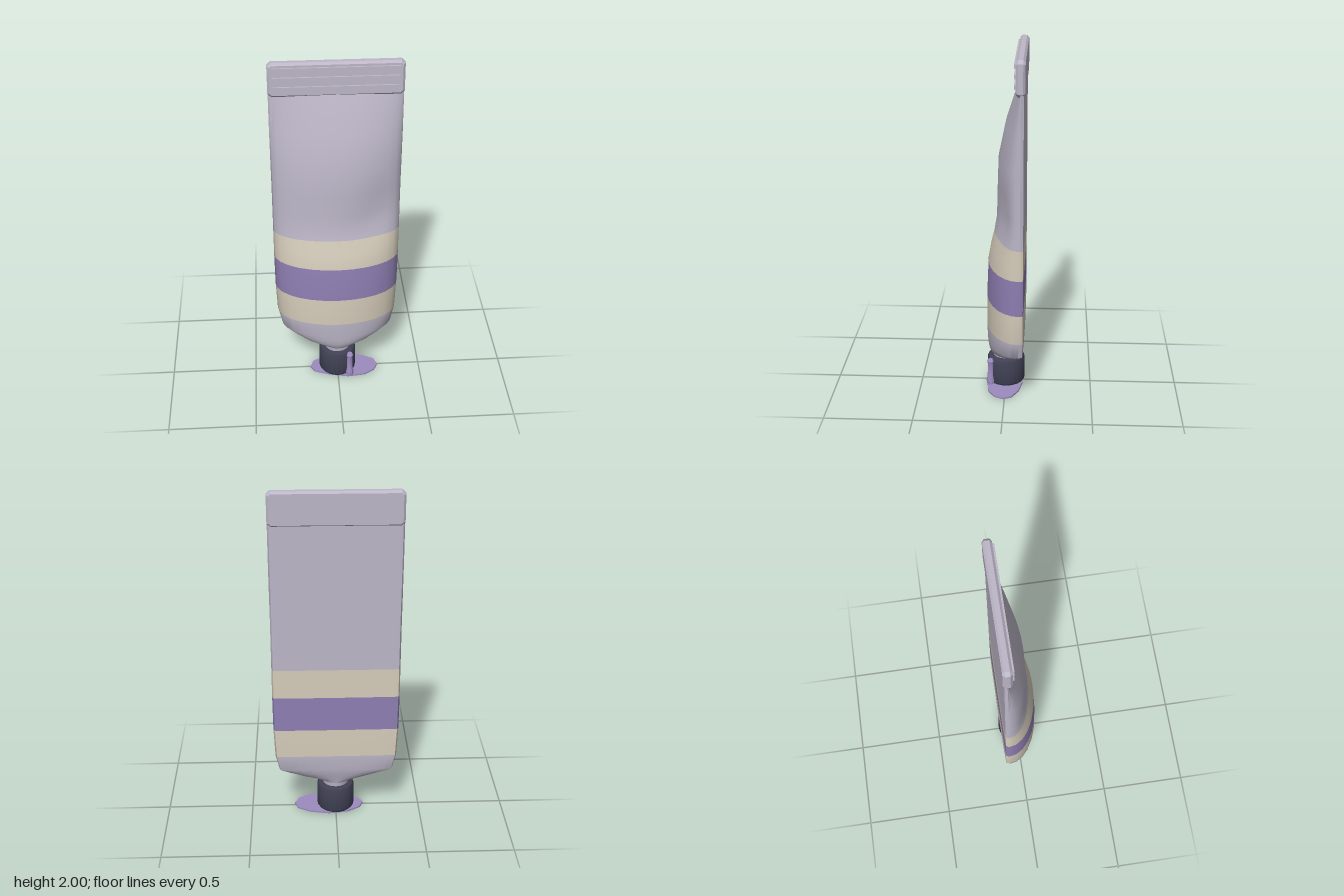
import * as THREE from 'three';
import { toCreasedNormals } from 'three/addons/utils/BufferGeometryUtils.js';

const mat = (color, side = THREE.FrontSide) => new THREE.MeshStandardMaterial({ color, side });

// Tube cross-sections: y, half width, front z, back z, z of side edge, back roundness (1 round, 0.1 flat)
const ROWS = [
  [0.2, 0.08, 0.08, -0.08, 0, 1],
  [0.215, 0.12, 0.09, -0.083, -0.005, 0.9],
  [0.245, 0.21, 0.1, -0.092, -0.025, 0.6],
  [0.275, 0.27, 0.103, -0.1, -0.05, 0.4],
  [0.31, 0.33, 0.106, -0.108, -0.08, 0.15],
  [0.405, 0.352, 0.111, -0.11, -0.088, 0.1],
  [0.58, 0.36, 0.109, -0.11, -0.09, 0.1],
  [0.79, 0.362, 0.1, -0.11, -0.09, 0.1],
  [0.88, 0.362, 0.085, -0.11, -0.09, 0.1],
  [0.965, 0.362, 0.065, -0.11, -0.09, 0.1],
  [1.04, 0.362, 0.053, -0.11, -0.09, 0.1],
  [1.12, 0.362, 0.05, -0.11, -0.09, 0.1],
  [1.25, 0.362, 0.047, -0.11, -0.09, 0.1],
  [1.4, 0.363, 0.041, -0.11, -0.09, 0.1],
  [1.6, 0.364, 0, -0.11, -0.09, 0.1],
  [1.82, 0.364, -0.072, -0.11, -0.092, 0.1],
];
const SEG = 28;

// Domed front, flat back, with a soft squeeze dent on the left
function tubeGeometry() {
  const pos = [], idx = [];
  for (const [y, hw, zf, zb, ze, q] of ROWS) {
    for (let i = 0; i < SEG; i++) {
      const a = (i / SEG) * Math.PI * 2;
      const s = Math.sin(a), x = hw * Math.cos(a);
      let z = s >= 0 ? ze + (zf - ze) * s : ze - (ze - zb) * Math.pow(-s, q);
      if (s > 0) z -= 0.04 * s * Math.exp(-(((x - 0.26) / 0.13) ** 2) - ((y - 1.12) / 0.16) ** 2);
      pos.push(x, y, z);
    }
  }
  for (let r = 0; r < ROWS.length - 1; r++) {
    for (let i = 0; i < SEG; i++) {
      const a = r * SEG + i, b = r * SEG + ((i + 1) % SEG);
      idx.push(a, a + SEG, b, b, a + SEG, b + SEG);
    }
  }
  const g = new THREE.BufferGeometry();
  g.setAttribute('position', new THREE.Float32BufferAttribute(pos, 3));
  g.setIndex(idx);
  return toCreasedNormals(g, 0.8);
}

// Cut a range of rows out of the tube, keeping its smooth normals
function sliceRows(geo, from, to) {
  const out = new THREE.BufferGeometry(), step = SEG * 6 * 3;
  for (const key of ['position', 'normal']) {
    out.setAttribute(key, new THREE.BufferAttribute(geo.attributes[key].array.slice(from * step, to * step), 3));
  }
  return out;
}

function lathe(points, segments) {
  const g = new THREE.LatheGeometry(points.map(([r, y]) => new THREE.Vector2(r, y)), segments);
  return toCreasedNormals(g, 0.6);
}

export function createModel() {
  const model = new THREE.Group();
  const add = (name, geometry, material, x = 0, y = 0, z = 0) => {
    const m = new THREE.Mesh(geometry, material);
    m.name = name;
    m.position.set(x, y, z);
    model.add(m);
    return m;
  };
  const grey = mat(0xbdb7c8), tubeGrey = mat(0xbdb7c8, THREE.DoubleSide);
  const cream = mat(0xd6cdbb, THREE.DoubleSide), purple = mat(0x8f7fb3, THREE.DoubleSide);
  const paste = mat(0x9d8cbf), dark = mat(0x3f4154);

  // Tube body and its colour bands
  const tube = tubeGeometry();
  const rowAt = (y) => ROWS.findIndex((r) => r[0] === y);
  [
    ['shoulder', 0.2, 0.405, tubeGrey],
    ['lowerBand', 0.405, 0.58, cream],
    ['middleBand', 0.58, 0.79, purple],
    ['upperBand', 0.79, 0.965, cream],
    ['tubeBody', 0.965, 1.82, tubeGrey],
  ].forEach(([name, a, b, m]) => add(name, sliceRows(tube, rowAt(a), rowAt(b)), m));

  // Crimped end with bevelled edges and three ribs
  const B = 0.012, w = 0.365 - B, h = 0.0975 - B;
  const c = 0.012;
  const outline = new THREE.Shape([
    [-w + c, -h], [w - c, -h], [w, -h + c], [w, h - c],
    [w - c, h], [-w + c, h], [-w, h - c], [-w, -h + c],
  ].map(([x, y]) => new THREE.Vector2(x, y)));
  const crimp = new THREE.ExtrudeGeometry(outline, {
    depth: 0.026, bevelEnabled: true, bevelThickness: B, bevelSize: B, bevelSegments: 1,
  });
  add('crimp', crimp, grey, 0, 1.9025, -0.115 + B);
  for (const y of [1.857, 1.911, 1.965]) {
    add('crimpRib', new THREE.BoxGeometry(0.68, 0.022, 0.02), grey, 0, y, -0.065);
  }

  // Neck and cap
  add('neck', new THREE.CylinderGeometry(0.08, 0.075, 0.05, 16), grey, 0, 0.19, 0);
  add('cap', lathe([
    [0, 0.008], [0.1, 0.008], [0.109, 0.022], [0.109, 0.155], [0.103, 0.169], [0.09, 0.175], [0, 0.175],
  ], 24), dark);

  // Drip running down the cap
  add('drip', lathe([
    [0, 0.004], [0.022, 0.008], [0.025, 0.03], [0.018, 0.06], [0.017, 0.14], [0.021, 0.155], [0.014, 0.168], [0, 0.172],
  ], 10), paste, 0.07, 0, 0.088);

  // Thin puddle under the cap
  const blob = new THREE.Shape([
    [-0.165, 0.01], [-0.14, 0.05], [-0.05, 0.085], [0.06, 0.108], [0.16, 0.097], [0.22, 0.06],
    [0.245, 0.01], [0.225, -0.04], [0.15, -0.08], [0.04, -0.1], [-0.07, -0.085], [-0.145, -0.04],
  ].map(([x, z]) => new THREE.Vector2(x, -z)));
  const puddle = new THREE.ExtrudeGeometry(blob, { depth: 0.01, bevelEnabled: false });
  add('puddle', puddle.rotateX(-Math.PI / 2), paste);

  return model;
}
